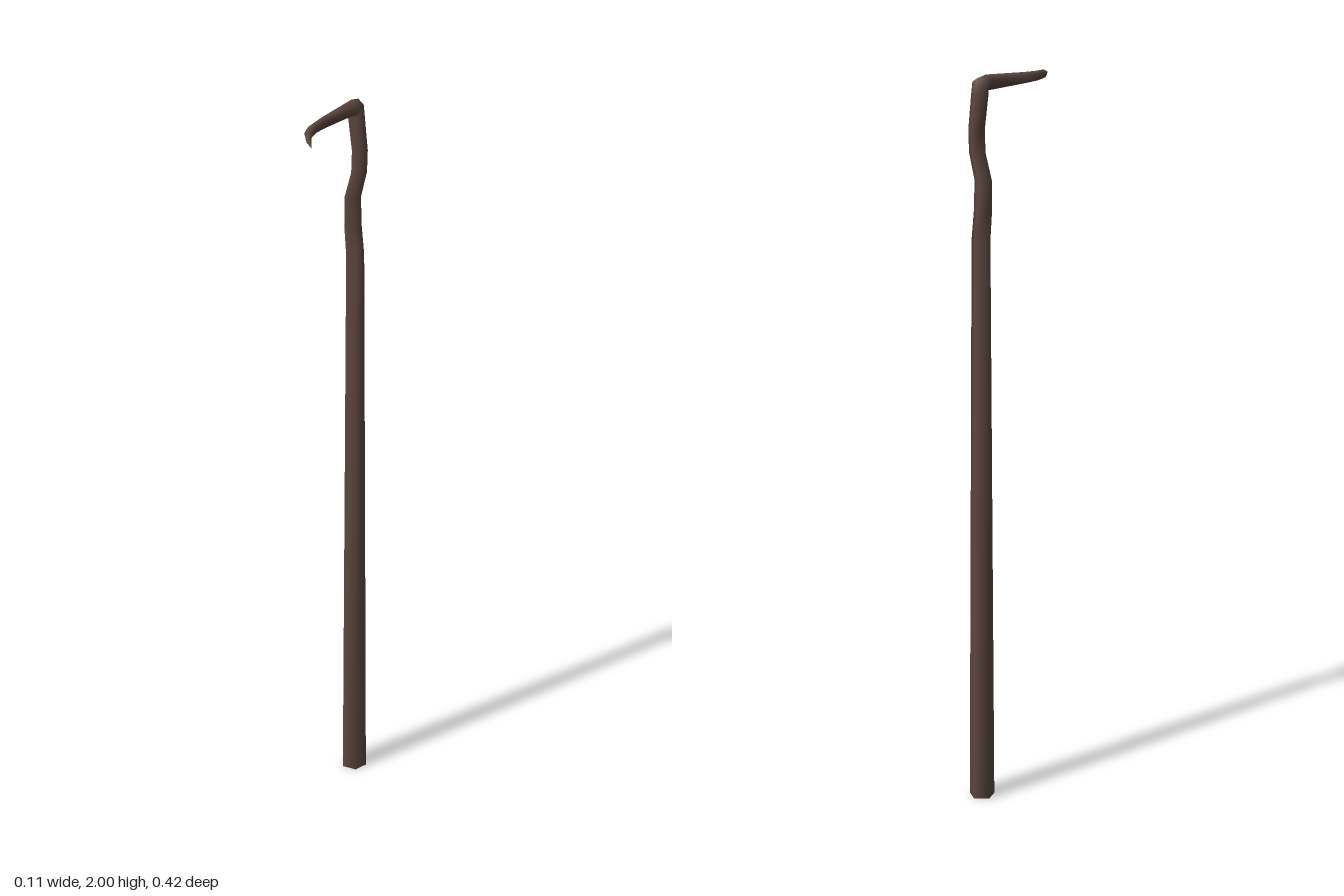
import * as THREE from 'three';

const SIDES = 5;
const FLOOR = 1.962; // flat underside of the hook

// Shaft sections: centre x, y, z, radius, pitch (0 = upright), yaw
const shaft = [
  [-0.022, 0, -0.178, 0.036, 0, 0],
  [-0.024, 1.57, -0.176, 0.026, 0, 0],
  [-0.031, 1.65, -0.176, 0.025, 0, 0],
  [-0.032, 1.73, -0.176, 0.0235, 0, 0],
  [-0.013, 1.80, -0.176, 0.0225, 0, 0],
  [-0.011, 1.86, -0.176, 0.0225, 0, 0],
  [-0.021, 1.95, -0.175, 0.0235, 0.05, 0],
  [-0.022, 1.978, -0.172, 0.024, Math.PI / 4, 0],
];

// Hook sections: x, z, radius, yaw; each rests on the flat underside
const hook = [
  [-0.022, -0.15, 0.0215, 0],
  [-0.022, 0.01, 0.0155, 0.03],
  [-0.0175, 0.07, 0.0135, 0.2],
  [-0.001, 0.125, 0.0115, 0.4],
  [0.021, 0.165, 0.0075, 0.55],
  [0.054, 0.21, 0.0004, 0.6],
].map(([x, z, r, yaw]) => [x, FLOOR + 0.81 * r, z, r, Math.PI / 2, yaw]);

// Corners of one pentagon, its point turned to the back, then upward along the hook
function ring([x, y, z, r, pitch, yaw]) {
  const side = new THREE.Vector3(Math.cos(yaw), 0, -Math.sin(yaw));
  const point = new THREE.Vector3(
    -Math.cos(pitch) * Math.sin(yaw), Math.sin(pitch), -Math.cos(pitch) * Math.cos(yaw));
  return Array.from({ length: SIDES }, (_, i) => {
    const a = Math.PI / 2 + (i / SIDES) * Math.PI * 2;
    return new THREE.Vector3(x, y, z)
      .addScaledVector(side, r * Math.cos(a))
      .addScaledVector(point, r * Math.sin(a));
  });
}

// Skin joining consecutive pentagons
function loft(sections) {
  const index = [];
  for (let s = 0; s < sections.length - 1; s++) {
    for (let i = 0; i < SIDES; i++) {
      const a = s * SIDES + i, b = s * SIDES + ((i + 1) % SIDES);
      index.push(a, b, b + SIDES, a, b + SIDES, a + SIDES);
    }
  }
  const geometry = new THREE.BufferGeometry().setFromPoints(sections.flatMap(ring));
  geometry.setIndex(index);
  geometry.computeVertexNormals();
  return geometry;
}

// Flat end closing the first section
function endCap(section) {
  const geometry = new THREE.BufferGeometry().setFromPoints(ring(section));
  const index = [];
  for (let i = 1; i < SIDES - 1; i++) index.push(0, i + 1, i);
  geometry.setIndex(index);
  geometry.computeVertexNormals();
  return geometry;
}

export function createModel() {
  const wood = new THREE.MeshStandardMaterial({ color: 0x5d4740 });
  const group = new THREE.Group();
  group.name = 'hookedStaff';
  const add = (name, geometry) => {
    const mesh = new THREE.Mesh(geometry, wood);
    mesh.name = name;
    group.add(mesh);
  };

  // One continuous skin from the foot to the hook tip
  add('staff', loft([...shaft, ...hook]));
  add('footCap', endCap(shaft[0]));
  return group;
}
